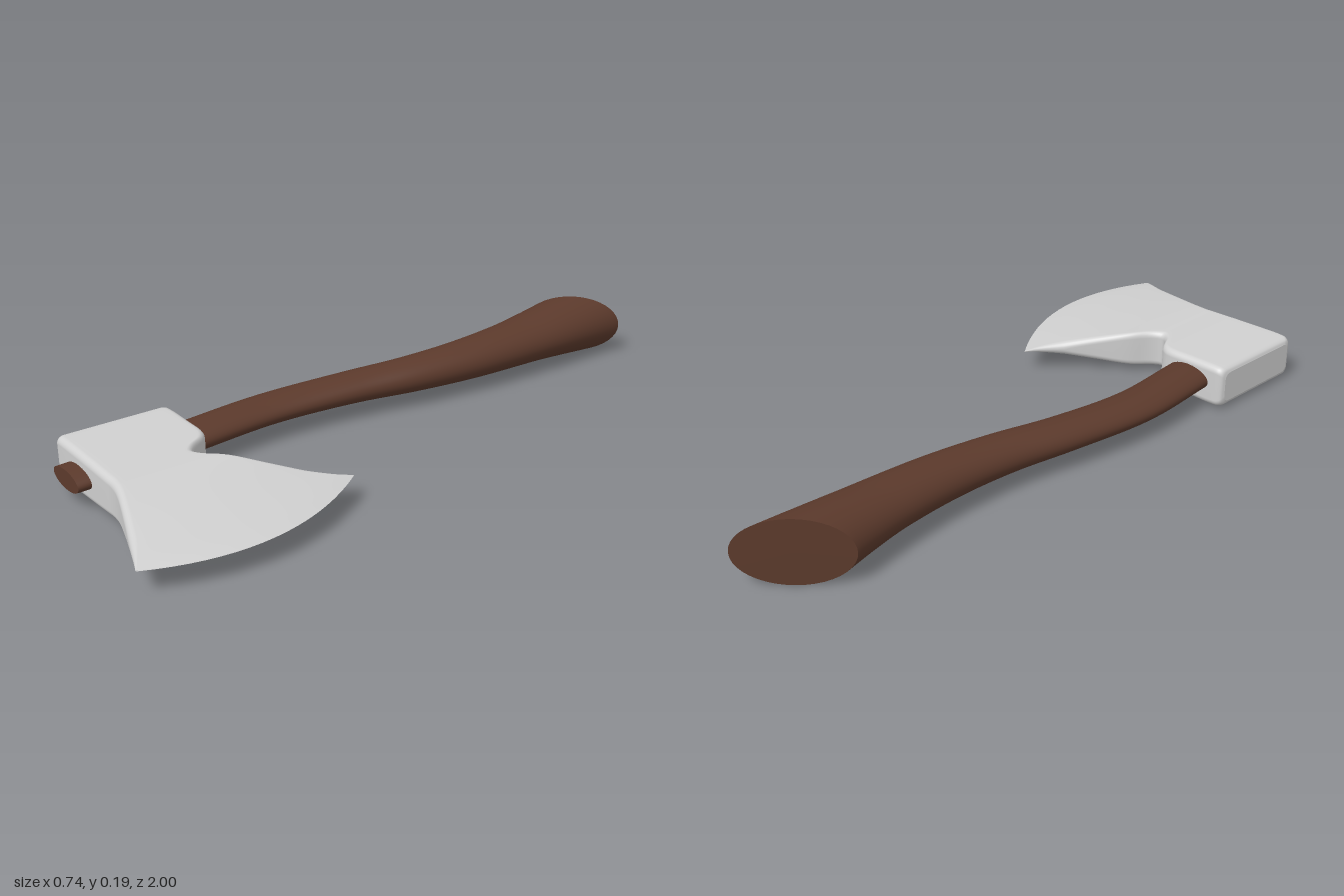
import * as THREE from 'three';

const wood = new THREE.MeshStandardMaterial({ color: 0x5c3a2c });
wood.name = 'wood';
const steel = new THREE.MeshStandardMaterial({ color: 0xd0d0d0 });
steel.name = 'steel';

// Skins a row of closed rings; the end caps have their own vertices so their rims stay sharp
function loft(rings) {
  const n = rings[0].length, pos = [], index = [];
  rings.forEach(ring => ring.forEach(p => pos.push(p.x, p.y, p.z)));
  for (let i = 0; i < rings.length - 1; i++) {
    for (let j = 0; j < n; j++) {
      const k = (j + 1) % n, a = i * n, b = a + n;
      index.push(a + j, a + k, b + j, a + k, b + k, b + j);
    }
  }
  [rings[0], rings[rings.length - 1]].forEach((ring, end) => {
    const base = pos.length / 3, c = new THREE.Vector3();
    ring.forEach(p => { pos.push(p.x, p.y, p.z); c.addScaledVector(p, 1 / n); });
    pos.push(c.x, c.y, c.z);
    for (let j = 0; j < n; j++) {
      const k = (j + 1) % n;
      index.push(base + n, base + (end ? j : k), base + (end ? k : j));
    }
  });
  const geo = new THREE.BufferGeometry();
  geo.setAttribute('position', new THREE.Float32BufferAttribute(pos, 3));
  geo.setIndex(index);
  geo.computeVertexNormals();
  return geo;
}

const curve = points => new THREE.CatmullRomCurve3(points);

// Curved handle: oval sections that tilt gradually into the slanted butt
function handleGeometry() {
  // left x, left z, right x, right z, bottom y, top y
  const sections = [
    [-0.298, 0.92, -0.153, 0.92, 0.040, 0.097],
    [-0.305, 0.72, -0.158, 0.72, 0.040, 0.104],
    [-0.320, 0.54, -0.173, 0.54, 0.040, 0.112],
    [-0.342, 0.27, -0.197, 0.27, 0.040, 0.116],
    [-0.314, 0.00, -0.172, 0.00, 0.040, 0.127],
    [-0.281, -0.20, -0.135, -0.20, 0.036, 0.138],
    [-0.271, -0.38, -0.109, -0.42, 0.031, 0.149],
    [-0.284, -0.57, -0.101, -0.70, 0.025, 0.162],
    [-0.302, -0.69, -0.102, -0.87, 0.012, 0.176],
    [-0.320, -0.78, -0.104, -1.00, 0.000, 0.187],
  ];
  const left = curve(sections.map(s => new THREE.Vector3(s[0], 0, s[1])));
  const right = curve(sections.map(s => new THREE.Vector3(s[2], 0, s[3])));
  const span = curve(sections.map((s, i) => new THREE.Vector3(s[4], s[5], i * 0.2)));
  const rings = [], steps = 54, sides = 40;
  for (let i = 0; i <= steps; i++) {
    const t = i / steps, l = left.getPoint(t), r = right.getPoint(t), h = span.getPoint(t);
    const ring = [];
    for (let j = 0; j < sides; j++) {
      const a = j / sides * Math.PI * 2;
      const p = l.clone().lerp(r, (1 + Math.sin(a)) / 2);
      p.y = (h.x + h.y) / 2 + Math.cos(a) * (h.y - h.x) / 2;
      ring.push(p);
    }
    rings.push(ring);
  }
  return loft(rings);
}

// Rounded-rectangle section of the head, bowed forward along z
function headRing(a, b) {
  const midY = 0.07, half = Math.max(a.y, 0.001), bulge = b.y;
  const r = Math.min(0.02, half * 0.95), ring = [];
  const add = (y, z) => {
    const s = (z - a.z) / (b.z - a.z);
    ring.push(new THREE.Vector3(a.x + (b.x - a.x) * s + bulge * 4 * s * (1 - s), midY + y, z));
  };
  const flat = 18, arc = 6, z0 = a.z + r, z1 = b.z - r;
  const corner = (y, z, start) => {
    for (let i = 0; i <= arc; i++) {
      const t = start + i / arc * Math.PI / 2;
      add(y + Math.cos(t) * r, z + Math.sin(t) * r);
    }
  };
  const side = (y, from, to) => {
    for (let i = 1; i < flat; i++) add(y, from + (to - from) * i / flat);
  };
  side(half, z0, z1);
  corner(half - r, z1, 0);
  corner(r - half, z1, Math.PI / 2);
  side(-half, z1, z0);
  corner(r - half, z0, Math.PI);
  corner(half - r, z0, Math.PI * 1.5);
  return ring;
}

// Axe head: rounded poll, notch behind the beard, then a flaring thin bit
function headGeometry() {
  // rear x, rear z, front x, front z, half thickness, bow
  const sections = [
    [-0.370, 0.558, -0.370, 0.862, 0.046, 0],
    [-0.365, 0.547, -0.365, 0.873, 0.056, 0],
    [-0.354, 0.541, -0.354, 0.879, 0.062, 0],
    [-0.335, 0.539, -0.335, 0.881, 0.064, 0],
    [-0.240, 0.539, -0.240, 0.881, 0.063, 0],
    [-0.160, 0.541, -0.160, 0.881, 0.061, 0],
    [-0.130, 0.558, -0.130, 0.881, 0.060, 0],
    [-0.102, 0.602, -0.102, 0.881, 0.059, 0],
    [-0.075, 0.621, -0.075, 0.881, 0.058, 0],
    [-0.045, 0.604, -0.045, 0.881, 0.057, 0],
    [0.000, 0.551, 0.000, 0.888, 0.054, 0.003],
    [0.070, 0.482, 0.100, 0.922, 0.039, 0.030],
    [0.140, 0.410, 0.200, 0.960, 0.022, 0.060],
    [0.193, 0.350, 0.275, 0.988, 0.009, 0.090],
    [0.215, 0.312, 0.305, 1.000, 0.001, 0.107],
  ];
  const rear = curve(sections.map(s => new THREE.Vector3(s[0], s[4], s[1])));
  const front = curve(sections.map(s => new THREE.Vector3(s[2], s[5], s[3])));
  const rings = [], steps = (sections.length - 1) * 4;
  for (let i = 0; i <= steps; i++) {
    rings.push(headRing(rear.getPoint(i / steps), front.getPoint(i / steps)));
  }
  return loft(rings);
}

export function createModel() {
  const group = new THREE.Group();
  group.name = 'axe';
  const handle = new THREE.Mesh(handleGeometry(), wood);
  handle.name = 'handle';
  const head = new THREE.Mesh(headGeometry(), steel);
  head.name = 'axeHead';
  group.add(handle, head);
  return group;
}
